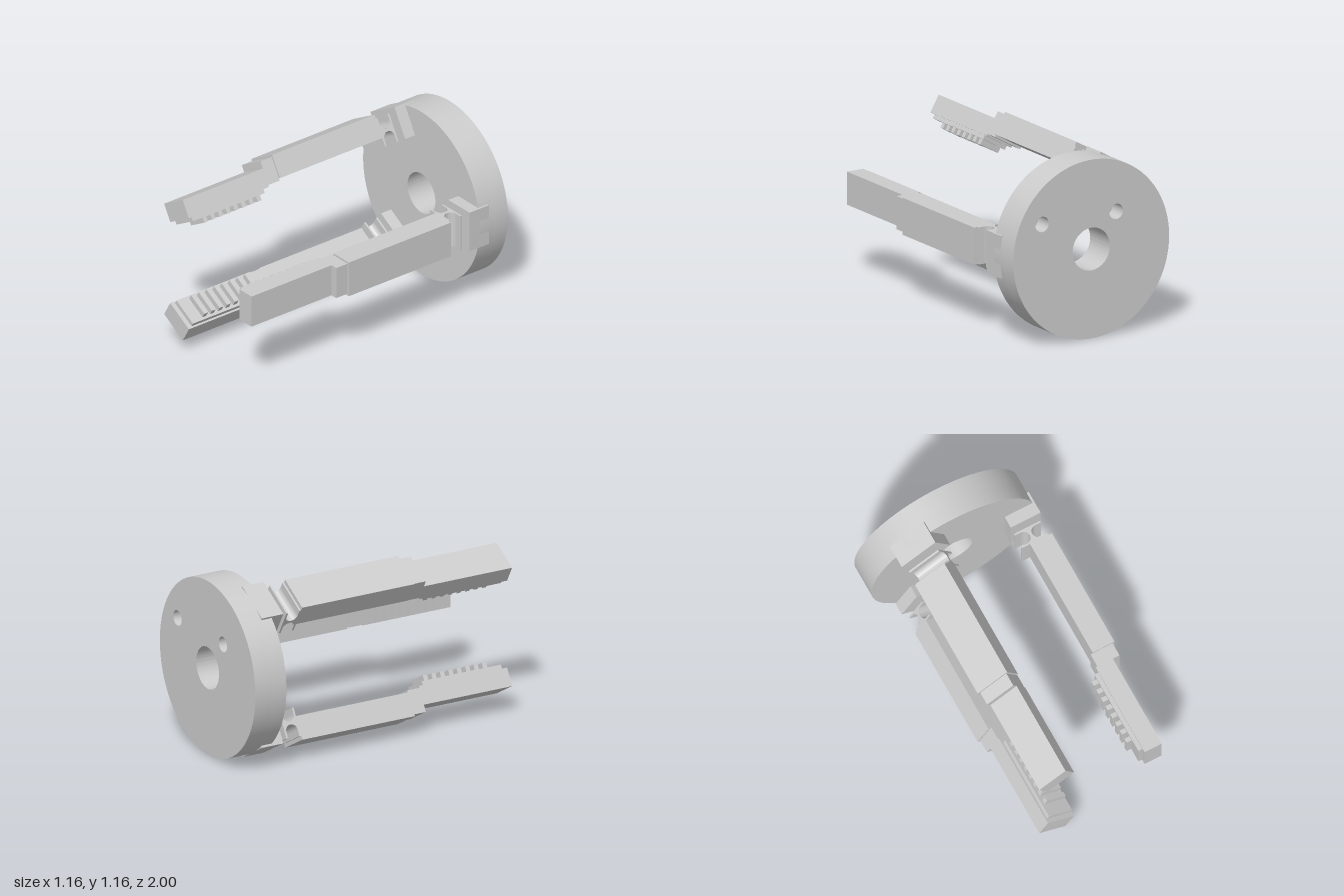
import * as THREE from 'three';
import { toCreasedNormals } from 'three/addons/utils/BufferGeometryUtils.js';

const material = new THREE.MeshStandardMaterial({ color: 0xcccccc });
const R = 0.578; // disc radius and height of its centre

function addMesh(parent, name, geometry) {
  const mesh = new THREE.Mesh(geometry, material);
  mesh.name = name;
  parent.add(mesh);
  return mesh;
}

// Box from radial range, half width and z range
function addBox(parent, name, x0, x1, half, z0, z1) {
  const mesh = addMesh(parent, name, new THREE.BoxGeometry(x1 - x0, half * 2, z1 - z0));
  mesh.position.set((x0 + x1) / 2, 0, (z0 + z1) / 2);
}

// Slice of the palm disc, holes given as [x, y, radius]
function discSlice(holes, z, depth) {
  const shape = new THREE.Shape().absarc(0, 0, R, 0, Math.PI * 2);
  for (const [x, y, r] of holes) {
    shape.holes.push(new THREE.Path().absarc(x, y, r, 0, Math.PI * 2, true));
  }
  const geometry = new THREE.ExtrudeGeometry(shape, { depth, bevelEnabled: false, curveSegments: 64 });
  geometry.translate(0, 0, z);
  return toCreasedNormals(geometry, 0.6);
}

// Two plates joined by a thin neck between rounded slots
function flexureGeometry() {
  const w = 0.0925, h = 0.0535, c = 0.05, r = 0.041;
  const shape = new THREE.Shape();
  shape.moveTo(-w, -h);
  shape.lineTo(w, -h);
  shape.lineTo(w, -r);
  shape.lineTo(c, -r);
  shape.absarc(c, 0, r, -Math.PI / 2, Math.PI / 2, true);
  shape.lineTo(w, r);
  shape.lineTo(w, h);
  shape.lineTo(-w, h);
  shape.lineTo(-w, r);
  shape.lineTo(-c, r);
  shape.absarc(-c, 0, r, Math.PI / 2, -Math.PI / 2, true);
  shape.lineTo(-w, -r);
  const geometry = new THREE.ExtrudeGeometry(shape, { depth: 0.24, bevelEnabled: false, curveSegments: 24 });
  geometry.translate(0, 0, -0.12);
  geometry.rotateX(-Math.PI / 2);
  return toCreasedNormals(geometry, 0.6);
}

// One finger pointing forward, with its gripping side toward the axis
function createFinger() {
  const finger = new THREE.Group();
  finger.name = 'finger';
  addBox(finger, 'fingerMount', 0.365, 0.576, 0.1375, -0.85, -0.695);
  addMesh(finger, 'flexureJoint', flexureGeometry()).position.set(0.4575, 0, -0.6015);
  addBox(finger, 'lowerSegment', 0.422, 0.576, 0.12, -0.548, 0.27);
  addBox(finger, 'knuckle', 0.407, 0.563, 0.107, 0.27, 0.36);
  addBox(finger, 'fingertip', 0.395, 0.516, 0.107, 0.36, 1);
  addBox(finger, 'gripPad', 0.367, 0.395, 0.094, 0.395, 0.97);
  for (let i = 0; i < 8; i++) {
    const z = 0.438 + i * 0.0612;
    addBox(finger, 'gripRidge', 0.331, 0.367, 0.076, z - 0.015, z + 0.015);
  }
  return finger;
}

export function createModel() {
  const model = new THREE.Group();
  model.name = 'threeFingerGripper';

  // Palm disc: centre bore, with two blind holes in the back
  const bore = [0, 0, 0.138];
  const palm = new THREE.Group();
  palm.name = 'palm';
  addMesh(palm, 'palmFront', discSlice([bore], -0.88, 0.105));
  addMesh(palm, 'palmBack', discSlice([bore, [0.365, 0.215, 0.05], [-0.185, 0.215, 0.05]], -1, 0.12));
  palm.position.y = R;
  model.add(palm);

  // Three fingers around the disc axis
  for (let i = 0; i < 3; i++) {
    const finger = createFinger();
    finger.position.y = R;
    finger.rotation.z = (i * Math.PI * 2) / 3;
    model.add(finger);
  }
  return model;
}
